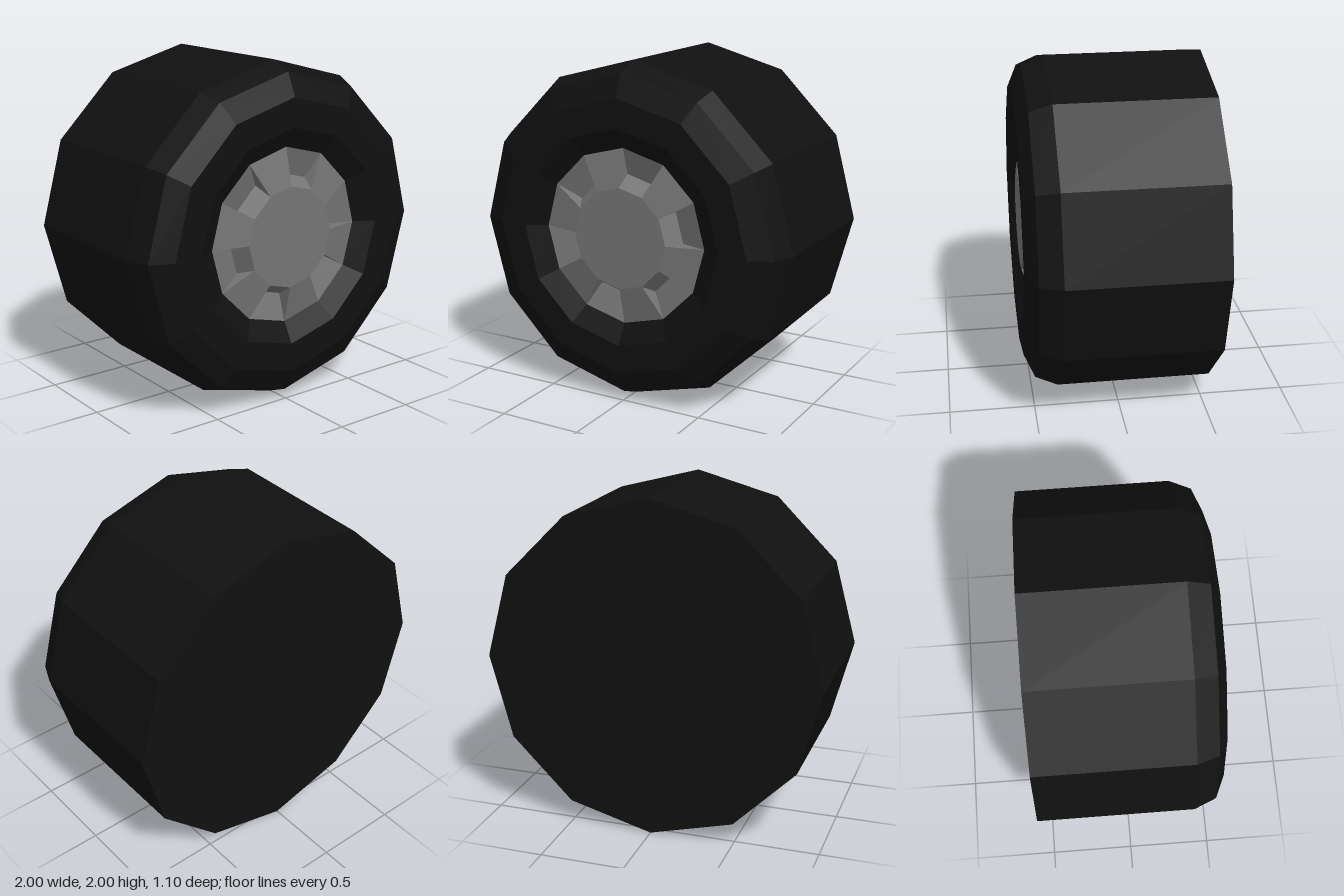
import * as THREE from 'three';

const SIDES = 12;
const STEP = (Math.PI * 2) / SIDES;

// Point at a radius, angle and depth on the wheel
const polar = (r, a, z) => [r * Math.cos(a), r * Math.sin(a), z];

// Hub ring: plain sloped wedges alternating with notched ones
function hubRing(rCap, zCap, rNotch, zNotch, rRim, zRim) {
  const pos = [];
  const tri = (...pts) => pts.forEach((p) => pos.push(...p));
  const quad = (a, b, c, d) => { tri(a, b, c); tri(a, c, d); };
  for (let i = 0; i < SIDES; i++) {
    const a = i * STEP, b = a + STEP;
    const capA = polar(rCap, a, zCap), capB = polar(rCap, b, zCap);
    const rimA = polar(rRim, a, zRim), rimB = polar(rRim, b, zRim);
    if (i % 2 === 1) {
      quad(capA, rimA, rimB, capB);
    } else {
      const lowA = polar(rNotch, a, zNotch), lowB = polar(rNotch, b, zNotch);
      quad(capA, lowA, lowB, capB); // inner wall
      quad(lowA, rimA, rimB, lowB); // sloped floor
      tri(capA, rimA, lowA);        // side walls
      tri(capB, lowB, rimB);
    }
  }
  const geo = new THREE.BufferGeometry();
  geo.setAttribute('position', new THREE.Float32BufferAttribute(pos, 3));
  geo.computeVertexNormals();
  return geo;
}

export function createModel() {
  const wheel = new THREE.Group();
  wheel.name = 'wheel';

  const rubber = new THREE.MeshStandardMaterial({ color: 0x101010, flatShading: true });
  rubber.name = 'black rubber';
  const metal = new THREE.MeshStandardMaterial({ color: 0x747474, flatShading: true });
  metal.name = 'grey metal';

  const add = (name, geo, mat) => {
    const mesh = new THREE.Mesh(geo, mat);
    mesh.name = name;
    mesh.position.y = 1;
    wheel.add(mesh);
    return mesh;
  };

  // Tyre: flat back, bevelled front shoulder and a recess for the hub
  const profile = [
    [0, -0.55], [1, -0.55], [1, 0.36], [0.945, 0.49],
    [0.81, 0.55], [0.64, 0.55], [0.52, 0.48],
  ].map(([r, z]) => new THREE.Vector2(r, z));
  add('tyre', new THREE.LatheGeometry(profile, SIDES).rotateX(Math.PI / 2), rubber);

  // Hub: notched ring around a flat cap
  add('hubRing', hubRing(0.3, 0.53, 0.36, 0.43, 0.52, 0.48), metal);
  add('hubCap', new THREE.CircleGeometry(0.3, SIDES).translate(0, 0, 0.53), metal);

  return wheel;
}
